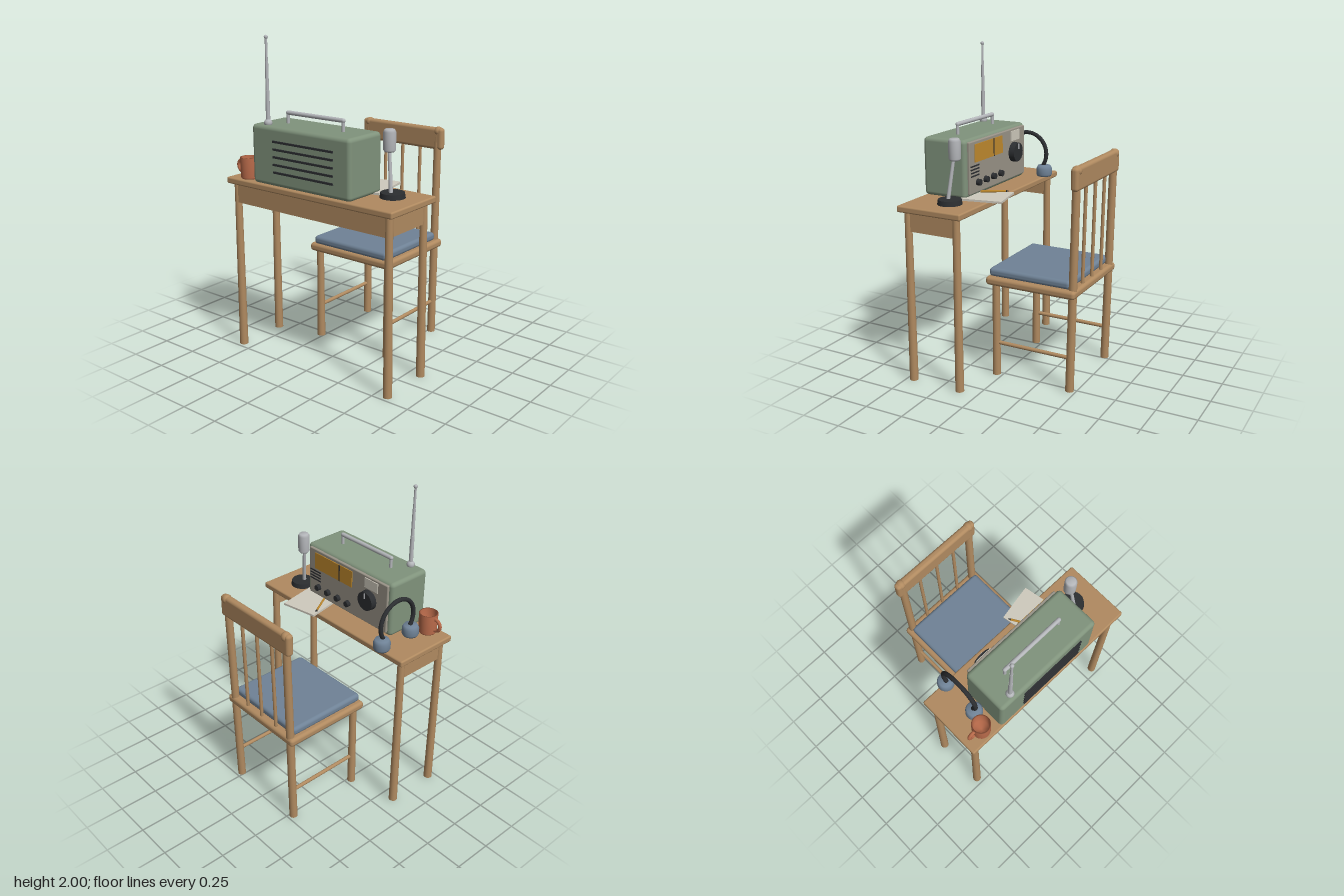
import * as THREE from 'three';
import { RoundedBoxGeometry } from 'three/addons/geometries/RoundedBoxGeometry.js';

const mat = (color, side = THREE.FrontSide) => new THREE.MeshStandardMaterial({ color, side });
const WOOD = mat(0xb08a60), BLUE = mat(0x6f8296), GREEN = mat(0x80937c), DARK = mat(0x2c2e31),
  METAL = mat(0xb4b6ba), PANEL = mat(0x9a9488), AMBER = mat(0xc08a2e), PALE = mat(0xcfcabd),
  CLAY = mat(0xb86a4a, THREE.DoubleSide);

const V = (x, y, z) => new THREE.Vector3(x, y, z);

function add(parent, name, geometry, material, x = 0, y = 0, z = 0) {
  const m = new THREE.Mesh(geometry, material);
  m.name = name;
  m.position.set(x, y, z);
  parent.add(m);
  return m;
}

// Box given by its min and max corners, optionally rounded
function box(parent, name, material, [x0, x1], [y0, y1], [z0, z1], r = 0) {
  const w = x1 - x0, h = y1 - y0, d = z1 - z0;
  const g = r ? new RoundedBoxGeometry(w, h, d, 3, r) : new THREE.BoxGeometry(w, h, d);
  return add(parent, name, g, material, (x0 + x1) / 2, (y0 + y1) / 2, (z0 + z1) / 2);
}

// Tapered round bar between two points
function rod(parent, name, material, a, b, ra, rb = ra, sides = 16) {
  const dir = b.clone().sub(a), mid = a.clone().add(b).multiplyScalar(0.5);
  const m = add(parent, name, new THREE.CylinderGeometry(rb, ra, dir.length(), sides), material, mid.x, mid.y, mid.z);
  m.quaternion.setFromUnitVectors(V(0, 1, 0), dir.normalize());
  return m;
}

const ball = (parent, name, material, r, x, y, z) =>
  add(parent, name, new THREE.SphereGeometry(r, 16, 12), material, x, y, z);

function group(parent, name) {
  const g = new THREE.Group();
  g.name = name;
  parent.add(g);
  return g;
}

function buildDesk(root) {
  const g = group(root, 'desk');
  box(g, 'deskTop', WOOD, [-0.63, 0.63], [1.08, 1.12], [0.07, 0.503], 0.01);
  box(g, 'frontApron', WOOD, [-0.59, 0.59], [0.96, 1.085], [0.45, 0.472]);
  for (const s of [-1, 1]) {
    const x = s * 0.58;
    box(g, 'sideApron', WOOD, [x - 0.011, x + 0.011], [0.96, 1.085], [0.105, 0.47]);
    for (const z of [0.123, 0.455]) rod(g, 'deskLeg', WOOD, V(x, 0, z), V(x, 1.085, z), 0.027, 0.022);
  }
}

function buildChair(root) {
  const g = group(root, 'chair');
  box(g, 'seat', WOOD, [-0.315, 0.315], [0.597, 0.65], [-0.5, 0.095], 0.02);
  box(g, 'cushion', BLUE, [-0.287, 0.287], [0.645, 0.7], [-0.457, 0.085], 0.022);
  box(g, 'crestRail', WOOD, [-0.313, 0.313], [1.245, 1.385], [-0.51, -0.462], 0.02);
  for (const s of [-1, 1]) {
    const x = s * 0.27;
    rod(g, 'frontLeg', WOOD, V(x, 0, 0.042), V(x, 0.61, 0.042), 0.026, 0.022);
    rod(g, 'backPost', WOOD, V(x, 0, -0.46), V(x, 1.37, -0.486), 0.026, 0.024);
    ball(g, 'postCap', WOOD, 0.03, x + s * 0.003, 1.362, -0.487);
    rod(g, 'sideStretcher', WOOD, V(x, 0.215, 0.042), V(x, 0.215, -0.46), 0.012);
  }
  for (const x of [-0.137, 0, 0.137])
    rod(g, 'backSpindle', WOOD, V(x, 0.63, -0.473), V(x, 1.27, -0.485), 0.011, 0.011, 10);
}

function buildRadio(root) {
  const g = group(root, 'radio');
  box(g, 'radioBody', GREEN, [-0.403, 0.343], [1.122, 1.48], [0.206, 0.5], 0.025);
  for (let i = 0; i < 5; i++) {
    const y = 1.21 + i * 0.046;
    box(g, 'grilleSlot', DARK, [-0.228, 0.225], [y - 0.006, y + 0.006], [0.49, 0.509]);
  }

  // Control face, looking toward the chair
  box(g, 'controlPanel', PANEL, [-0.377, 0.313], [1.145, 1.465], [0.192, 0.22], 0.006);
  box(g, 'dialWindow', AMBER, [-0.08, 0.255], [1.335, 1.445], [0.187, 0.2]);
  box(g, 'dialNeedle', DARK, [0.027, 0.034], [1.335, 1.445], [0.184, 0.19]);
  box(g, 'meter', PALE, [-0.3, -0.19], [1.388, 1.452], [0.186, 0.2]);
  for (let i = 0; i < 4; i++) {
    const y = 1.255 + i * 0.02;
    box(g, 'panelVent', DARK, [0.205, 0.3], [y - 0.004, y + 0.004], [0.188, 0.2]);
  }
  rod(g, 'tuningKnob', DARK, V(-0.227, 1.315, 0.2), V(-0.227, 1.315, 0.155), 0.064, 0.06, 28);
  box(g, 'tuningMark', METAL, [-0.231, -0.223], [1.335, 1.37], [0.15, 0.157]);
  for (let i = 0; i < 4; i++) {
    const x = -0.048 + i * 0.0903;
    rod(g, 'smallKnob', DARK, V(x, 1.21, 0.2), V(x, 1.21, 0.168), 0.021, 0.019);
  }

  // Carrying handle
  const bar = add(g, 'handleBar', new THREE.CapsuleGeometry(0.013, 0.42, 6, 16), METAL, -0.03, 1.543, 0.354);
  bar.rotation.z = Math.PI / 2;
  for (const x of [-0.24, 0.18]) rod(g, 'handlePost', METAL, V(x, 1.47, 0.354), V(x, 1.543, 0.354), 0.01);

  // Telescopic antenna
  const ax = -0.303, az = 0.459;
  ball(g, 'antennaBase', METAL, 0.025, ax, 1.49, az);
  [[1.49, 1.68, 0.013], [1.68, 1.85, 0.0105], [1.85, 1.985, 0.008]].forEach(([a, b, r]) =>
    rod(g, 'antennaSection', METAL, V(ax, a, az), V(ax, b, az), r, r - 0.001));
  ball(g, 'antennaTip', METAL, 0.012, ax, 1.988, az);
}

function buildMicrophone(root) {
  const g = group(root, 'microphone');
  rod(g, 'microphoneBase', DARK, V(0.45, 1.12, 0.247), V(0.45, 1.15, 0.247), 0.075, 0.07, 24);
  rod(g, 'microphoneStem', METAL, V(0.447, 1.145, 0.26), V(0.417, 1.385, 0.236), 0.012, 0.01);
  const profile = [[0, 0], [0.028, 0], [0.037, 0.012], [0.037, 0.115], [0.028, 0.13], [0, 0.13]];
  add(g, 'microphoneHead', new THREE.LatheGeometry(profile.map(p => new THREE.Vector2(...p)), 24),
    METAL, 0.413, 1.375, 0.23);
}

function buildMug(root) {
  const g = group(root, 'mug');
  const profile = [[0, 0], [0.052, 0], [0.056, 0.008], [0.058, 0.13], [0.05, 0.13], [0.047, 0.015], [0, 0.015]];
  add(g, 'mugBody', new THREE.LatheGeometry(profile.map(p => new THREE.Vector2(...p)), 28),
    CLAY, -0.498, 1.121, 0.43);
  const h = add(g, 'mugHandle', new THREE.TorusGeometry(0.038, 0.011, 10, 20, Math.PI), CLAY, -0.555, 1.19, 0.43);
  h.rotation.z = Math.PI / 2;
}

function buildHeadphones(root) {
  const g = group(root, 'headphones');
  const x = -0.455, cz = 0.204, cy = 1.267, start = -0.6;
  const band = add(g, 'headband', new THREE.TorusGeometry(0.136, 0.0135, 10, 40, Math.PI - 2 * start), DARK, x, cy, cz);
  band.rotation.order = 'YXZ';
  band.rotation.set(0, Math.PI / 2, start);
  const profile = [[0, 0], [0.046, 0], [0.052, 0.012], [0.052, 0.05], [0.042, 0.07], [0, 0.075]];
  for (const s of [-1, 1])
    add(g, 'earCup', new THREE.LatheGeometry(profile.map(p => new THREE.Vector2(...p)), 24),
      BLUE, x, 1.121, cz + s * 0.121);
}

function buildNotes(root) {
  const g = group(root, 'notes');
  const pad = box(g, 'notepad', PALE, [0.106, 0.344], [1.121, 1.134], [-0.004, 0.292]);
  pad.rotation.y = 0.185;
  const tip = V(0.093, 1.141, 0.05), end = V(0.18, 1.141, 0.198);
  const neck = tip.clone().lerp(end, 0.1);
  rod(g, 'pencil', AMBER, neck, end, 0.007, 0.007, 6);
  rod(g, 'pencilTip', DARK, neck, tip, 0.007, 0.001, 6);
}

export function createModel() {
  const root = new THREE.Group();
  root.name = 'radioDesk';
  [buildDesk, buildChair, buildRadio, buildMicrophone, buildMug, buildHeadphones, buildNotes].forEach(f => f(root));
  return root;
}
